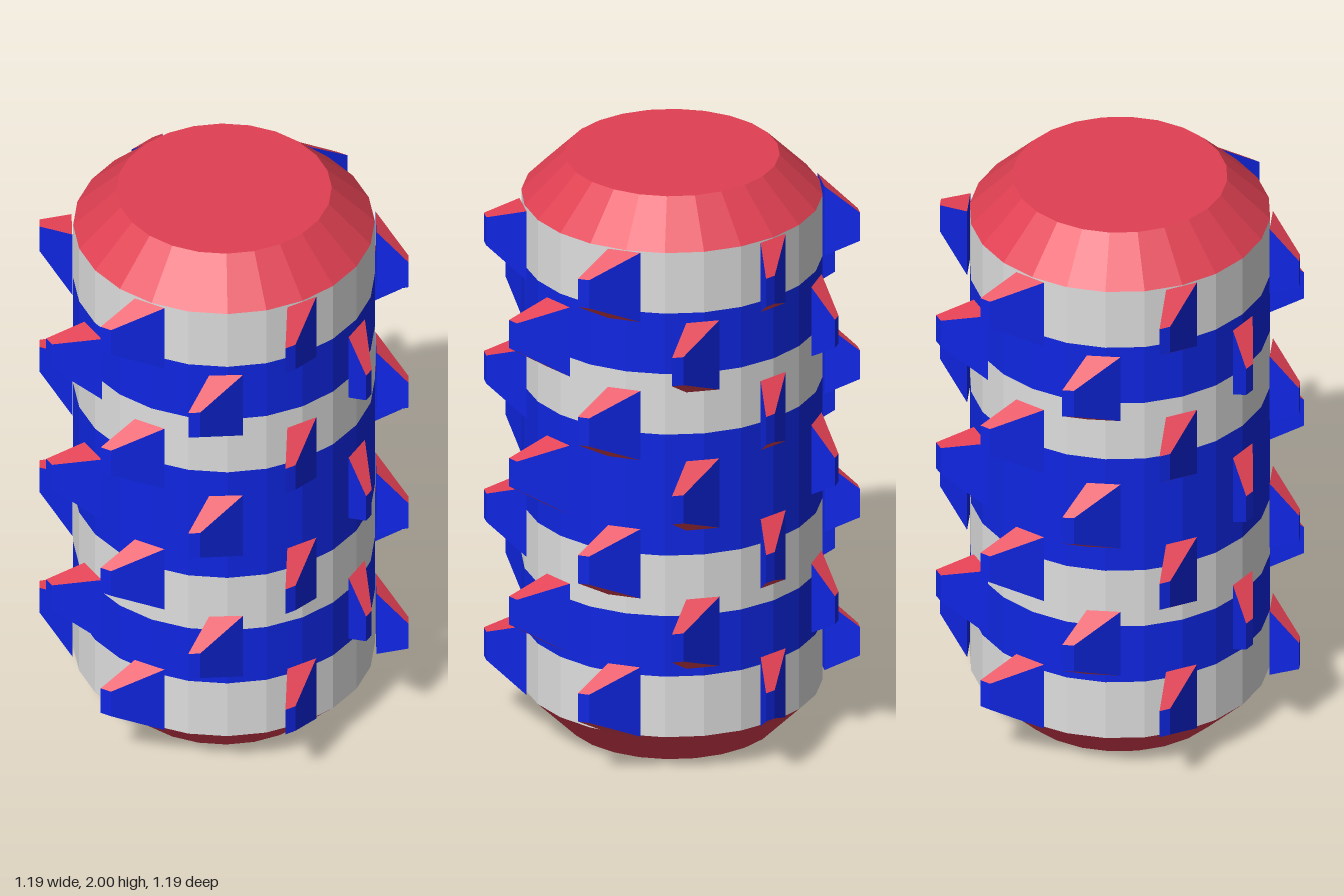
import * as THREE from 'three';

const SIDES = 24;
const R = 0.49;

// Cylinder section with flat facets
function facetedCylinder(rTop, rBottom, height, open) {
  const g = new THREE.CylinderGeometry(rTop, rBottom, height, SIDES, 1, open).toNonIndexed();
  g.computeVertexNormals();
  return g;
}

// Slanted tooth: wide base on the drum, narrow tip swept to one side
function toothGeometry() {
  const g = new THREE.BoxGeometry(1, 1, 1);
  const p = g.attributes.position;
  for (let i = 0; i < p.count; i++) {
    const tip = p.getZ(i) > 0, right = p.getX(i) > 0, up = Math.sign(p.getY(i));
    p.setXYZ(i,
      tip ? (right ? -0.092 : -0.13) : (right ? 0.05 : -0.06),
      up * (tip ? 0.05 : 0.123),
      tip ? 0.597 : 0.494);
  }
  g.computeVertexNormals();
  return g;
}

export function createModel() {
  const model = new THREE.Group();
  const red = new THREE.MeshStandardMaterial({ color: 0xe04052 });
  const blue = new THREE.MeshStandardMaterial({ color: 0x0f26e2 });
  const white = new THREE.MeshStandardMaterial({ color: 0xdedede });
  red.name = 'red';
  blue.name = 'blue';
  white.name = 'white';

  const add = (name, geometry, material, y) => {
    const mesh = new THREE.Mesh(geometry, material);
    mesh.name = name;
    mesh.position.y = y;
    model.add(mesh);
    return mesh;
  };

  // Tapered end caps
  add('topCap', facetedCylinder(0.35, R, 0.14, false), red, 1.93);
  add('bottomCap', facetedCylinder(R, 0.35, 0.14, false), red, 0.07);

  // Striped drum, eight equal units with a double blue band in the middle
  const unit = 1.72 / 8;
  let y = 0.14;
  [1, 1, 1, 2, 1, 1, 1].forEach((n, i) => {
    const h = n * unit;
    add('drumBand', facetedCylinder(R, R, h, true), i % 2 ? blue : white, y + h / 2);
    y += h;
  });

  // Seven rings of six teeth, alternate rings turned half a step
  const tooth = toothGeometry();
  const toothMaterials = [blue, blue, red, red, blue, blue];
  for (let row = 0; row < 7; row++) {
    for (let k = 0; k < 6; k++) {
      const mesh = add('tooth', tooth, toothMaterials, 1 + (row - 3) * 0.2455);
      mesh.rotation.y = (k + (row % 2 ? 0 : 0.5)) * Math.PI / 3;
    }
  }
  return model;
}
